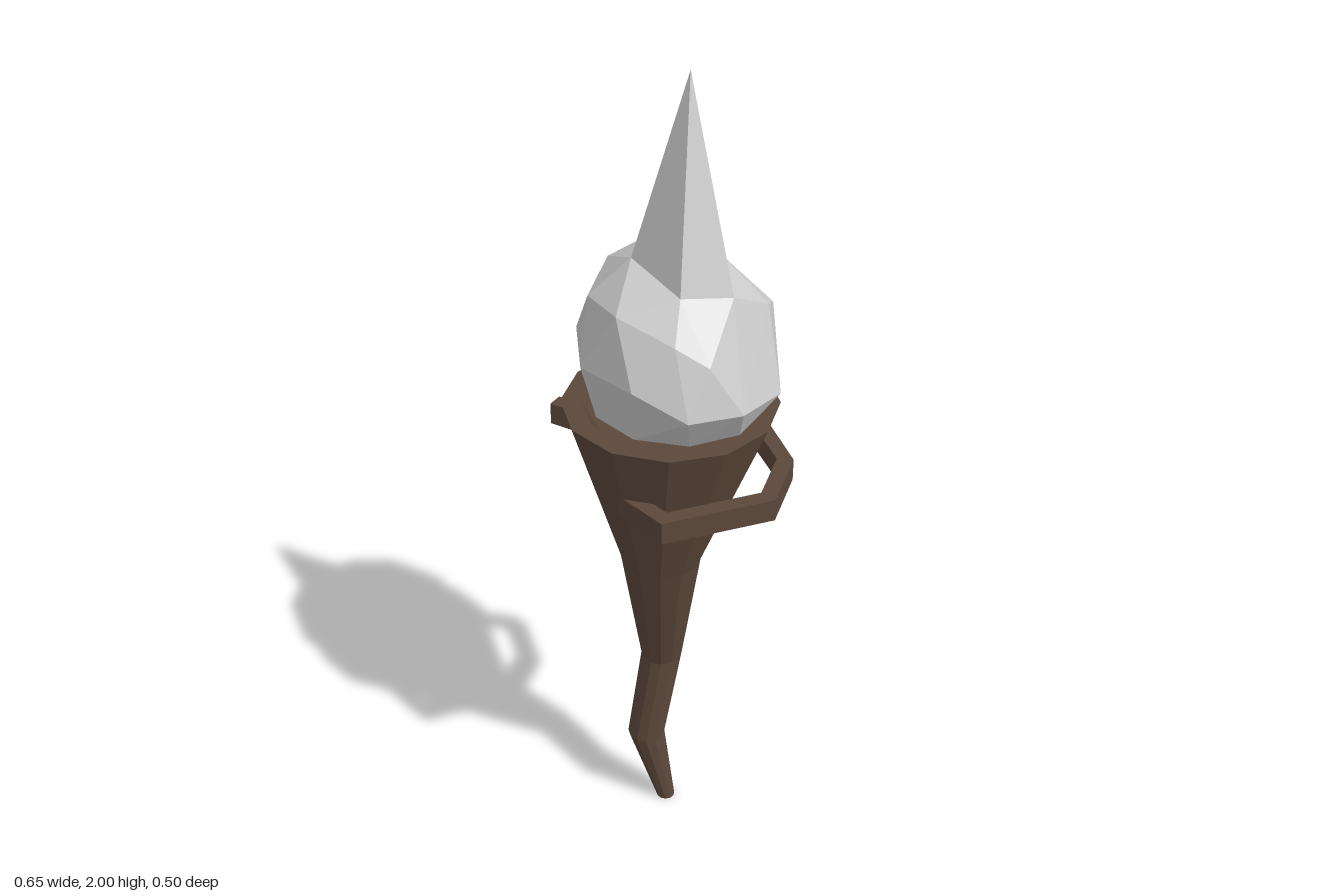
import * as THREE from 'three';
import { ConvexGeometry } from 'three/addons/geometries/ConvexGeometry.js';

const wood = new THREE.MeshStandardMaterial({ color: 0x5c483b, flatShading: true });
const grey = new THREE.MeshStandardMaterial({ color: 0xcccccc, flatShading: true });

// Skin over round cross-sections [x, y, z, radius]
function loft(rings, sides) {
  const pos = [], index = [];
  rings.forEach(([x, y, z, r], i) => {
    for (let j = 0; j < sides; j++) {
      const a = (j / sides) * Math.PI * 2;
      pos.push(x + r * Math.cos(a), y, z + r * Math.sin(a));
      if (i === 0) continue;
      const k = (j + 1) % sides, lo = (i - 1) * sides, hi = i * sides;
      index.push(lo + j, hi + j, hi + k, lo + j, hi + k, lo + k);
    }
  });
  const geo = new THREE.BufferGeometry();
  geo.setAttribute('position', new THREE.Float32BufferAttribute(pos, 3));
  geo.setIndex(index);
  const flat = geo.toNonIndexed();
  flat.computeVertexNormals();
  return flat;
}

// Flat outline in [x, z], extruded down from the top height
function slab(points, top, height) {
  const shape = new THREE.Shape(points.map(([x, z]) => new THREE.Vector2(x, z)));
  const geo = new THREE.ExtrudeGeometry(shape, { depth: height, bevelEnabled: false });
  return geo.rotateX(Math.PI / 2).translate(0, top, 0);
}

const hull = (points) => new ConvexGeometry(points.map((p) => new THREE.Vector3(...p)));

export function createModel() {
  const model = new THREE.Group();
  const add = (name, geo, mat) => {
    const mesh = new THREE.Mesh(geo, mat);
    mesh.name = name;
    model.add(mesh);
  };

  // Crooked handle widening into a hollow cup
  add('handle', loft([
    [0.022, 0, -0.003, 0.001],
    [0.022, 0, -0.003, 0.023],
    [-0.022, 0.22, 0.02, 0.046],
    [0.005, 0.47, -0.01, 0.05],
    [0.03, 0.81, 0.035, 0.095],
    [0.033, 1.22, 0, 0.248],
    [0.033, 1.22, 0, 0.2],
    [0.033, 1.12, 0, 0.15],
    [0.033, 1.12, 0, 0.001],
  ], 12), wood);

  // Angular loop around one side of the cup
  const outer = [[0.015, 0.2], [0.155, 0.243], [0.325, 0.035], [0.285, -0.128], [0.15, -0.248], [-0.065, -0.18]];
  const inner = [[-0.05, -0.143], [0.14, -0.205], [0.25, -0.112], [0.284, 0.026], [0.143, 0.2], [0.025, 0.163]];
  add('sideLoop', slab([...outer, ...inner], 1.075, 0.055), wood);

  // Straight peg on the other side
  add('sidePeg', slab([[-0.325, -0.08], [-0.05, -0.08], [-0.05, -0.042], [-0.325, -0.042]], 1.075, 0.055), wood);

  // Faceted flame ball
  const spikeBase = [[-0.03, 1.6, -0.1], [0.095, 1.56, -0.105], [0.2, 1.54, 0.022], [0.125, 1.56, 0.117], [-0.03, 1.59, 0.06]];
  const upper = [
    [-0.14, 1.53, -0.02], [-0.11, 1.5, 0.11], [0.012, 1.52, 0.19], [0.15, 1.48, 0.18], [0.22, 1.44, 0.155],
    [0.225, 1.48, -0.09], [0.195, 1.44, -0.17], [0.012, 1.49, -0.222], [-0.085, 1.5, -0.165],
  ];
  const middle = [
    [-0.075, 1.36, -0.23], [0.055, 1.33, -0.25], [0.2, 1.33, -0.17], [0.288, 1.3, -0.04], [0.278, 1.32, 0.11],
    [0.203, 1.33, 0.215], [0.08, 1.38, 0.24], [-0.08, 1.37, 0.19], [-0.175, 1.38, 0.06], [-0.175, 1.38, -0.1],
  ];
  const lower = [];
  for (let i = 0; i < 10; i++) {
    const a = (i / 10) * Math.PI * 2 + 0.3;
    lower.push([0.05 + 0.2 * Math.cos(a), 1.23, 0.19 * Math.sin(a)]);
  }
  add('flameBall', hull([...spikeBase, ...upper, ...middle, ...lower, [0.05, 1.14, 0]]), grey);

  // Tall pointed flame tip
  add('flameTip', hull([...spikeBase, [0.065, 2, -0.02]]), grey);

  return model;
}
